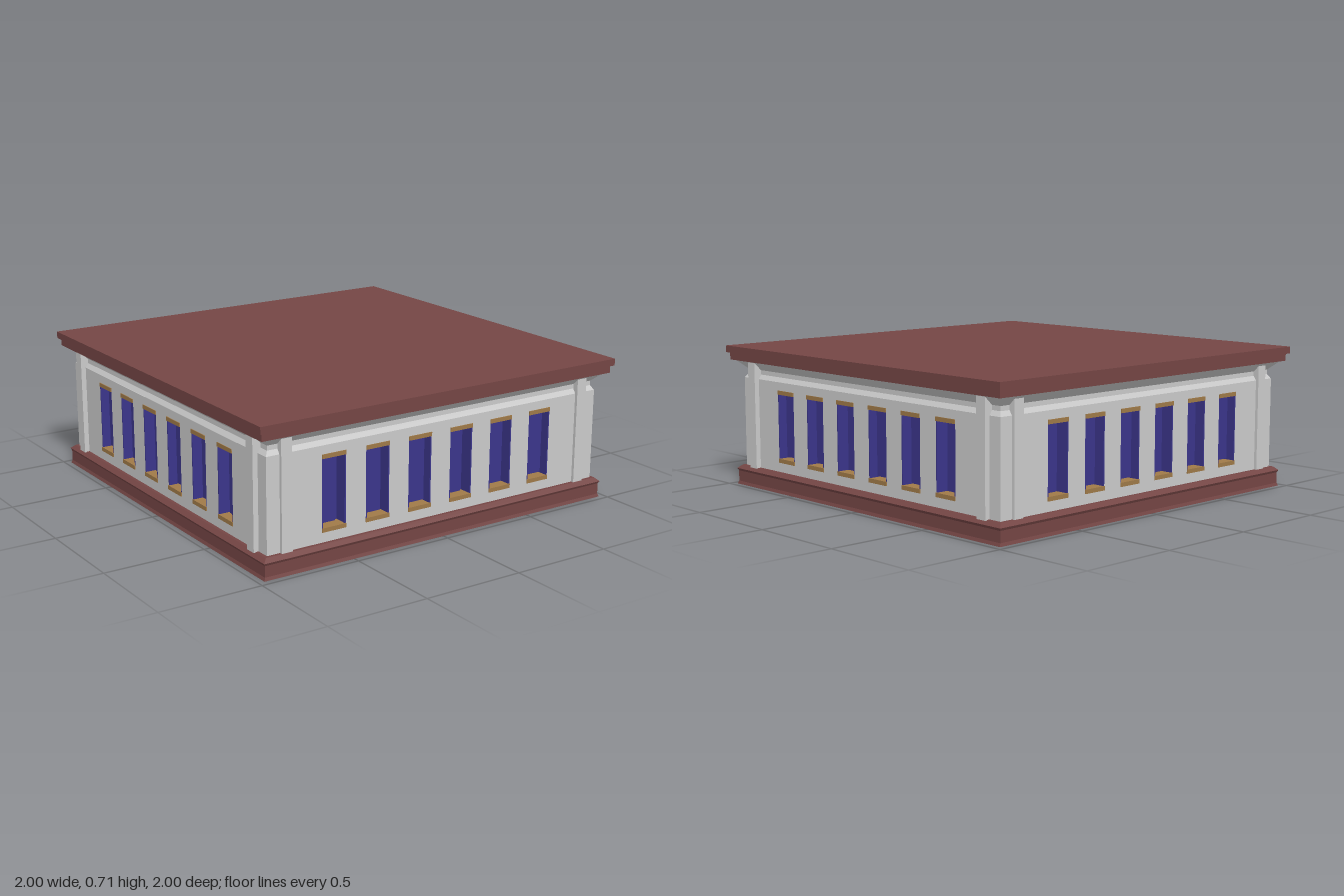
import * as THREE from 'three';

const material = (color) => new THREE.MeshStandardMaterial({ color, flatShading: true });
const stone = material(0xcccccc);
const brown = material(0x754645);
const blue = material(0x3b358b);
const tan = material(0xa07a48);

const WALL = 0.935, DEPTH = 0.07;
const WIN_W = 0.127, WIN_LOW = 0.145, WIN_HIGH = 0.505, TRIM = 0.02;
const WIN_X = [-0.588, -0.353, -0.118, 0.118, 0.353, 0.588];

// square moulding swept from a profile of [half width, height]
function squareMoulding(name, profile, mat) {
  const pts = profile.map(([r, y]) => new THREE.Vector2(r * Math.SQRT2, y));
  const mesh = new THREE.Mesh(new THREE.LatheGeometry(pts, 4, Math.PI / 4), mat);
  mesh.name = name;
  return mesh;
}

function box(name, w, h, d, x, y, z, mat) {
  const mesh = new THREE.Mesh(new THREE.BoxGeometry(w, h, d), mat);
  mesh.position.set(x, y, z);
  mesh.name = name;
  return mesh;
}

// recessed window with tan lintel and sill; groove moves the pane sideways
function makeWindow(x, groove) {
  const g = new THREE.Group();
  g.name = 'window';
  const mid = (WIN_LOW + WIN_HIGH) / 2, h = WIN_HIGH - WIN_LOW;
  const zMid = WALL - DEPTH / 2;
  for (const [name, y] of [['sill', WIN_LOW + TRIM / 2], ['lintel', WIN_HIGH - TRIM / 2]])
    g.add(box(name, WIN_W, TRIM, DEPTH + 0.004, x, y, zMid + 0.002, tan));
  for (const s of [-1, 1])
    g.add(box('jamb', 0.006, h - 2 * TRIM, DEPTH, x + s * (WIN_W / 2 - 0.003), mid, zMid, blue));
  g.add(box('windowBack', WIN_W, h, 0.01, x, mid, WALL - DEPTH, blue));
  g.add(box('pane', WIN_W - 0.036, h - 2 * TRIM - 0.01, 0.025, x + groove * 0.01, mid, WALL - DEPTH + 0.015, blue));
  return g;
}

// one facade facing +z; four of them interlock at the corners
function makeSide(pilasterFront) {
  const side = new THREE.Group();
  const shape = new THREE.Shape();
  const inner = -(WALL - DEPTH);
  shape.moveTo(inner, 0.09).lineTo(WALL, 0.09).lineTo(WALL, 0.546).lineTo(inner, 0.546).closePath();
  for (const x of WIN_X) {
    const hole = new THREE.Path();
    const l = x - WIN_W / 2, r = x + WIN_W / 2;
    hole.moveTo(l, WIN_LOW).lineTo(l, WIN_HIGH).lineTo(r, WIN_HIGH).lineTo(r, WIN_LOW).closePath();
    shape.holes.push(hole);
  }
  const wall = new THREE.Mesh(new THREE.ExtrudeGeometry(shape, { depth: DEPTH, bevelEnabled: false }), stone);
  wall.position.z = WALL - DEPTH;
  wall.name = 'wall';
  side.add(wall);
  WIN_X.forEach((x, i) => side.add(makeWindow(x, (i % 3) - 1)));
  // pilasters near the corners run up into the cornice
  for (const s of [-1, 1])
    side.add(box('pilaster', 0.055, 0.535, 0.06, s * 0.84, 0.3625, pilasterFront - 0.03, stone));
  return side;
}

export function createModel() {
  const model = new THREE.Group();
  model.name = 'building';

  // plinth
  model.add(squareMoulding('base', [
    [0, 0], [0.97, 0], [0.964, 0.015], [0.964, 0.068], [0.97, 0.08], [0.95, 0.098], [0.92, 0.098],
  ], brown));

  // four facades
  ['frontSide', 'leftSide', 'backSide', 'rightSide'].forEach((name, i) => {
    const side = makeSide(i % 2 ? 0.96 : 0.95);
    side.name = name;
    side.rotation.y = i * Math.PI / 2;
    model.add(side);
  });

  // chamfered wall head and flared cornice
  model.add(squareMoulding('cornice', [
    [WALL, 0.545], [0.92, 0.568], [0.92, 0.59], [0.968, 0.636],
  ], stone));

  // two-step roof slab
  model.add(squareMoulding('roof', [
    [0, 0.635], [0.985, 0.635], [0.985, 0.672], [1, 0.672], [1, 0.706], [0, 0.706],
  ], brown));

  return model;
}
